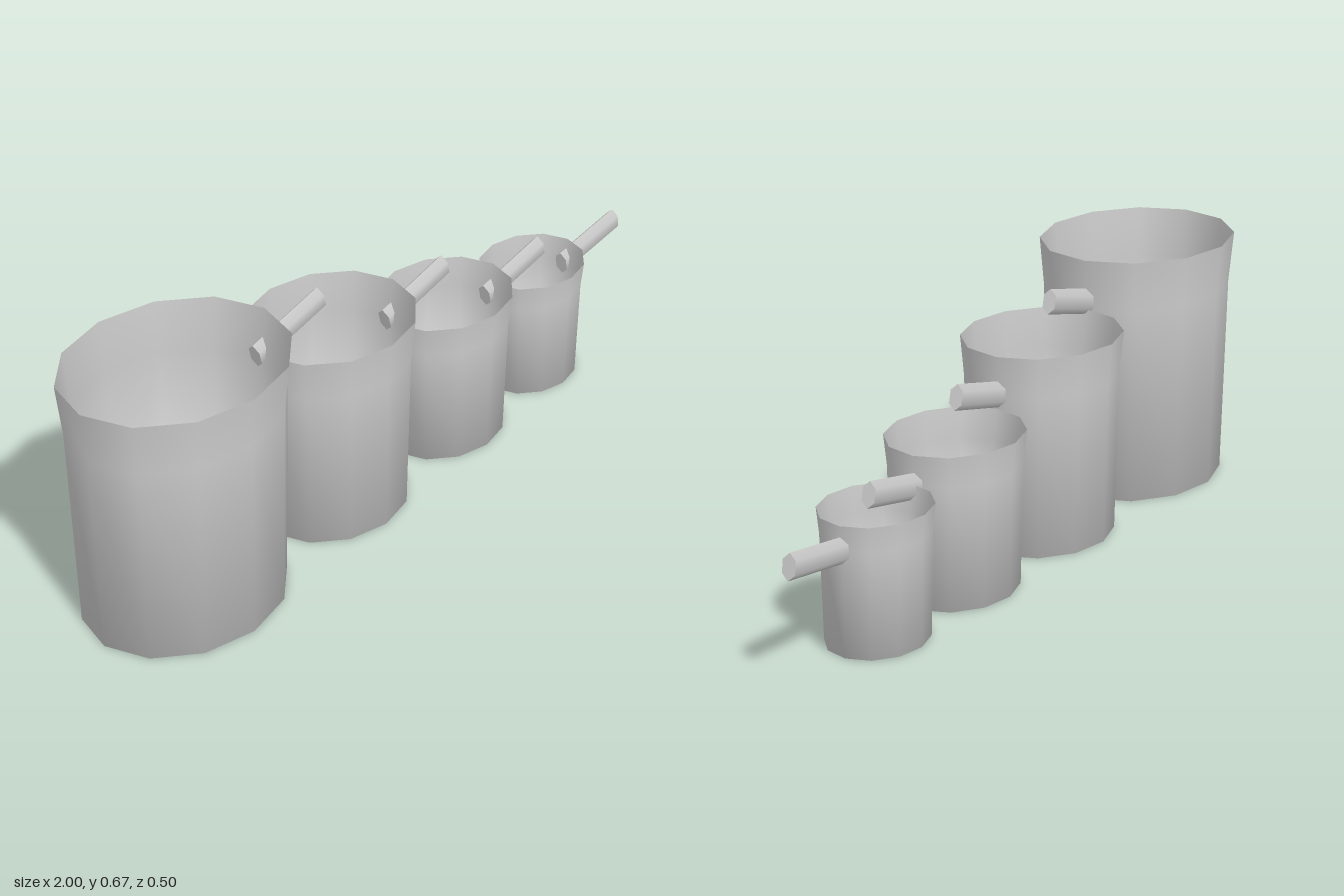
import * as THREE from 'three';

// One row per pot: centre x, radius in x and z, height, handle axis start and end (x, y)
const POTS = [
  { x: -0.7, rx: 0.3, rz: 0.25, h: 0.667, from: [-0.435, 0.549], to: [-0.207, 0.607] },
  { x: -0.17, rx: 0.235, rz: 0.2, h: 0.535, from: [0.034, 0.43], to: [0.262, 0.488] },
  { x: 0.267, rx: 0.198, rz: 0.167, h: 0.402, from: [0.435, 0.318], to: [0.662, 0.368] },
  { x: 0.632, rx: 0.157, rz: 0.133, h: 0.334, from: [0.765, 0.269], to: [0.995, 0.307] },
];

export function createModel() {
  const group = new THREE.Group();
  const metal = new THREE.MeshStandardMaterial({ color: 0xcccccc, side: THREE.DoubleSide });
  metal.name = 'grey metal';

  // Open twelve-sided cup with a floor and a flared rim, one unit in radius and height
  const profile = [[0, 0], [0.912, 0], [0.953, 0.8], [1, 1]].map(([r, y]) => new THREE.Vector2(r, y));
  const cup = new THREE.LatheGeometry(profile, 12);

  POTS.forEach((p, i) => {
    const pot = new THREE.Group();
    pot.name = `pot${i + 1}`;

    const body = new THREE.Mesh(cup, metal);
    body.name = 'cup';
    body.scale.set(p.rx, p.h, p.rz);
    body.position.x = p.x;
    pot.add(body);

    // Narrow six-sided handle, ridge up, rising away from the cup
    const dx = p.to[0] - p.from[0];
    const dy = p.to[1] - p.from[1];
    const bar = new THREE.CylinderGeometry(1, 1, Math.hypot(dx, dy), 6);
    bar.rotateY(Math.PI / 2);
    bar.scale(0.033, 1, 0.02);
    const handle = new THREE.Mesh(bar, metal);
    handle.name = 'handle';
    handle.rotation.z = Math.atan2(dy, dx) - Math.PI / 2;
    handle.position.set((p.from[0] + p.to[0]) / 2, (p.from[1] + p.to[1]) / 2, 0);
    pot.add(handle);

    group.add(pot);
  });
  return group;
}
